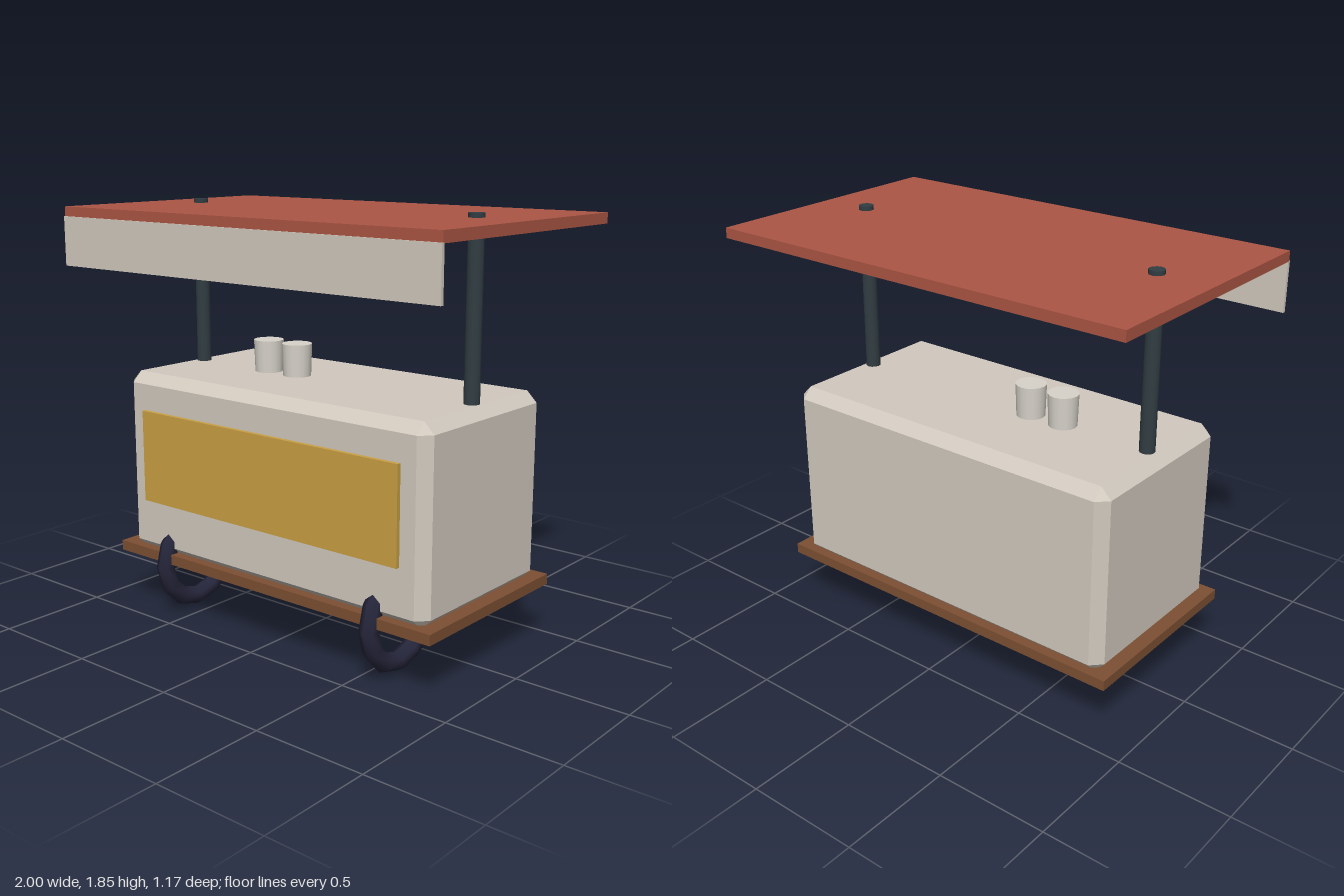
import * as THREE from 'three';
import { ConvexGeometry } from 'three/addons/geometries/ConvexGeometry.js';

const material = (color, flatShading = false) => new THREE.MeshStandardMaterial({ color, flatShading });

// Box with every edge cut by a flat chamfer
function chamferedBox(w, h, d, c) {
  const points = [];
  for (const sx of [-1, 1]) for (const sy of [-1, 1]) for (const sz of [-1, 1]) {
    const x = sx * w / 2, y = sy * h / 2, z = sz * d / 2;
    points.push(
      new THREE.Vector3(x, y - sy * c, z - sz * c),
      new THREE.Vector3(x - sx * c, y, z - sz * c),
      new THREE.Vector3(x - sx * c, y - sy * c, z),
    );
  }
  return new ConvexGeometry(points);
}

export function createModel() {
  const cart = new THREE.Group();
  cart.name = 'foodCart';

  const cream = material(0xd2cabf, true);
  const cupCream = material(0xd8d4cb);
  const red = material(0xac5644, true);
  const gold = material(0xcaa145, true);
  const wood = material(0x7d5033, true);
  const steel = material(0x323e43);
  const rubber = material(0x26263c);

  const add = (name, geometry, mat, x, y, z) => {
    const mesh = new THREE.Mesh(geometry, mat);
    mesh.name = name;
    mesh.position.set(x, y, z);
    cart.add(mesh);
    return mesh;
  };
  const midZ = -0.003;

  // Counter body on a wooden base
  add('body', chamferedBox(1.66, 0.83, 0.83, 0.047), cream, 0, 0.687, midZ);
  add('base', new THREE.BoxGeometry(1.75, 0.046, 0.874), wood, 0, 0.272, midZ);
  add('frontPanel', new THREE.BoxGeometry(1.42, 0.416, 0.035), gold, 0, 0.729, 0.413);

  // Canopy with a hanging front valance
  add('roof', new THREE.BoxGeometry(2, 0.045, 1.168), red, 0, 1.812, midZ);
  add('valance', new THREE.BoxGeometry(2, 0.215, 0.015), cream, 0, 1.685, 0.58);

  // Posts and wheels, one of each per side
  for (const [side, s] of [['right', -1], ['left', 1]]) {
    add(side + 'Post', new THREE.CylinderGeometry(0.033, 0.033, 0.783, 12), steel, s * 0.75, 1.4615, midZ);
    const wheel = add(side + 'Wheel', new THREE.TorusGeometry(0.188, 0.042, 6, 12), rubber, s * 0.583, 0.23, 0.247);
    wheel.rotation.y = Math.PI / 2;
  }

  // Cups on the counter
  [-0.337, -0.17].forEach((x, i) => {
    add('cup' + (i + 1), new THREE.CylinderGeometry(0.067, 0.062, 0.147, 16), cupCream, x, 1.1715, midZ);
  });

  return cart;
}
